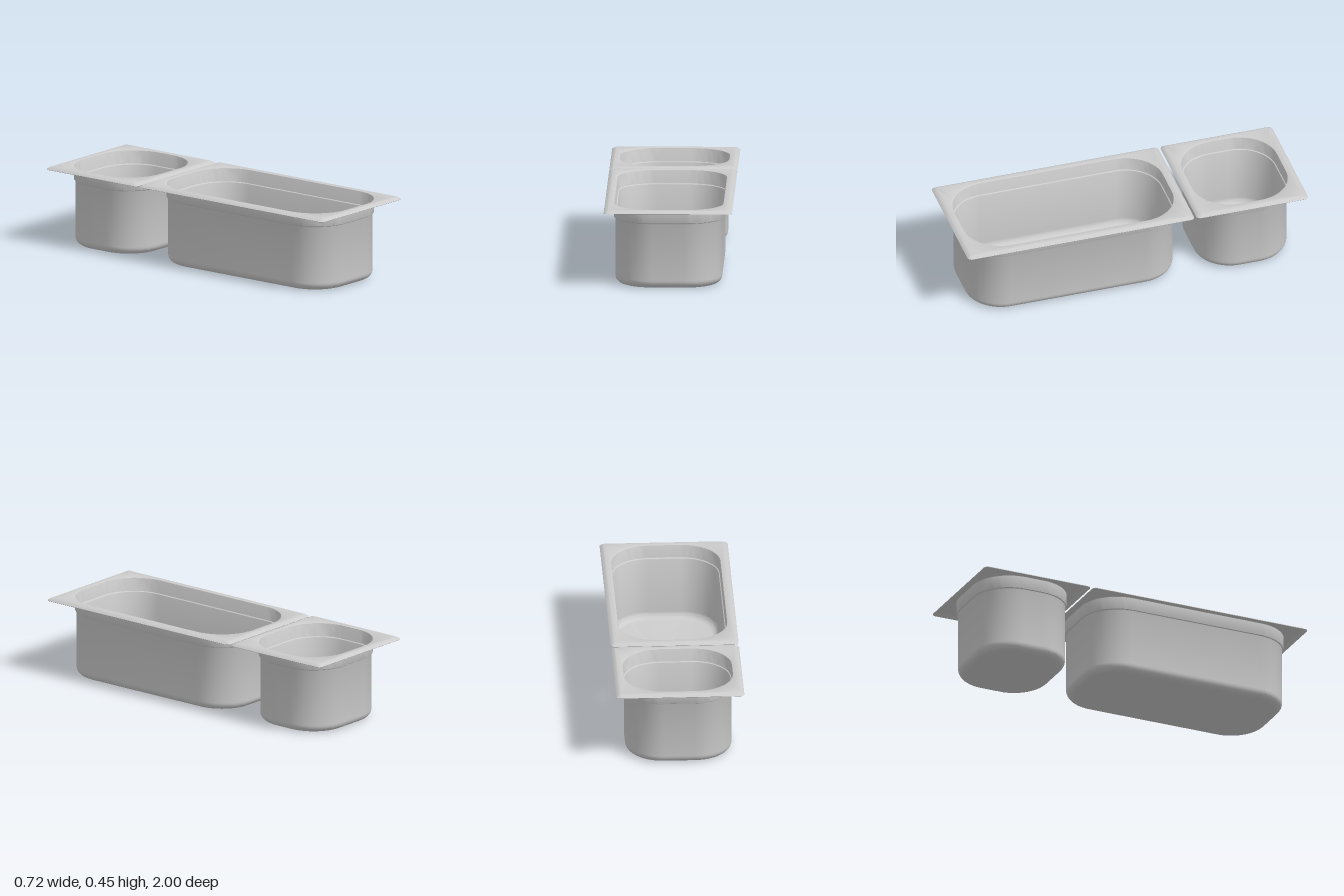
import * as THREE from 'three';
import { toCreasedNormals } from 'three/addons/utils/BufferGeometryUtils.js';

const RIM_X = 0.36, LIP = 0.051, CORNER = 0.22, SHEET = 0.004;
const TOP = 0.452, STEP = 0.37, FILLET = 0.045, ARC = 16;

// Rounded rectangle ring, same point count for every size
function ring(hx, hz, r, y) {
  const pts = [];
  for (let q = 0; q < 4; q++) {
    const sx = q === 0 || q === 3 ? 1 : -1, sz = q < 2 ? 1 : -1;
    for (let i = 0; i <= ARC; i++) {
      const a = (q + i / ARC) * Math.PI / 2;
      pts.push([sx * (hx - r) + r * Math.cos(a), y, sz * (hz - r) + r * Math.sin(a)]);
    }
  }
  return pts;
}

// Skin consecutive rings into a surface
function loft(rings) {
  const n = rings[0].length, index = [];
  for (let i = 0; i < rings.length - 1; i++) {
    for (let j = 0; j < n; j++) {
      const k = (j + 1) % n, a = i * n + j, b = i * n + k;
      index.push(a, b, a + n, b, b + n, a + n);
    }
  }
  const geo = new THREE.BufferGeometry();
  geo.setAttribute('position', new THREE.Float32BufferAttribute(rings.flat(2), 3));
  geo.setIndex(index);
  return toCreasedNormals(geo, 0.5);
}

// Thin sheet pan: inside from the floor up, over the rim, then down the outside
function makePan(name, zMin, zMax, material) {
  const rimZ = (zMax - zMin) / 2, hx = RIM_X - LIP, hz = rimZ - LIP;
  const wall = (inset, y) => ring(hx - inset, hz - inset, CORNER - inset, y);
  const rim = (inset, y) => ring(RIM_X - inset, rimZ - inset, 0.024 - inset * 0.5, y);

  // Cavity section for a given offset inward from the outer skin
  const section = (t) => {
    const rings = [ring(0, 0, 0, t)];
    const r = FILLET - t, low = 0.009 + t;
    for (let i = 0; i <= 8; i++) {
      const a = i / 8 * Math.PI / 2;
      rings.push(wall(low + r * (1 - Math.sin(a)), t + r * (1 - Math.cos(a))));
    }
    rings.push(wall(low, STEP - 0.003), wall(low - 0.002, STEP + 0.001));
    rings.push(wall(t + 0.002, STEP + 0.004), wall(t, STEP + 0.009));
    return rings;
  };

  const rings = [
    ...section(SHEET),
    wall(SHEET, TOP - 0.006), wall(SHEET - 0.002, TOP - 0.002), wall(SHEET - 0.006, TOP),
    rim(0.023, TOP), rim(0.019, TOP - 0.001), rim(0.002, TOP - 0.012),
    rim(0, TOP - 0.014), rim(0.001, TOP - 0.016), rim(0.006, TOP - 0.015), rim(0.022, TOP - SHEET),
    wall(-0.003, TOP - SHEET), wall(0, TOP - SHEET - 0.003),
    ...section(0).reverse(),
  ];
  const pan = new THREE.Mesh(loft(rings), material);
  pan.name = name;
  pan.position.z = (zMin + zMax) / 2;
  return pan;
}

export function createModel() {
  const group = new THREE.Group();
  group.name = 'foodPans';
  const material = new THREE.MeshStandardMaterial({ color: 0xcccccc, side: THREE.DoubleSide });
  group.add(makePan('longPan', -0.331, 1, material));
  group.add(makePan('shortPan', -1, -0.343, material));
  return group;
}
